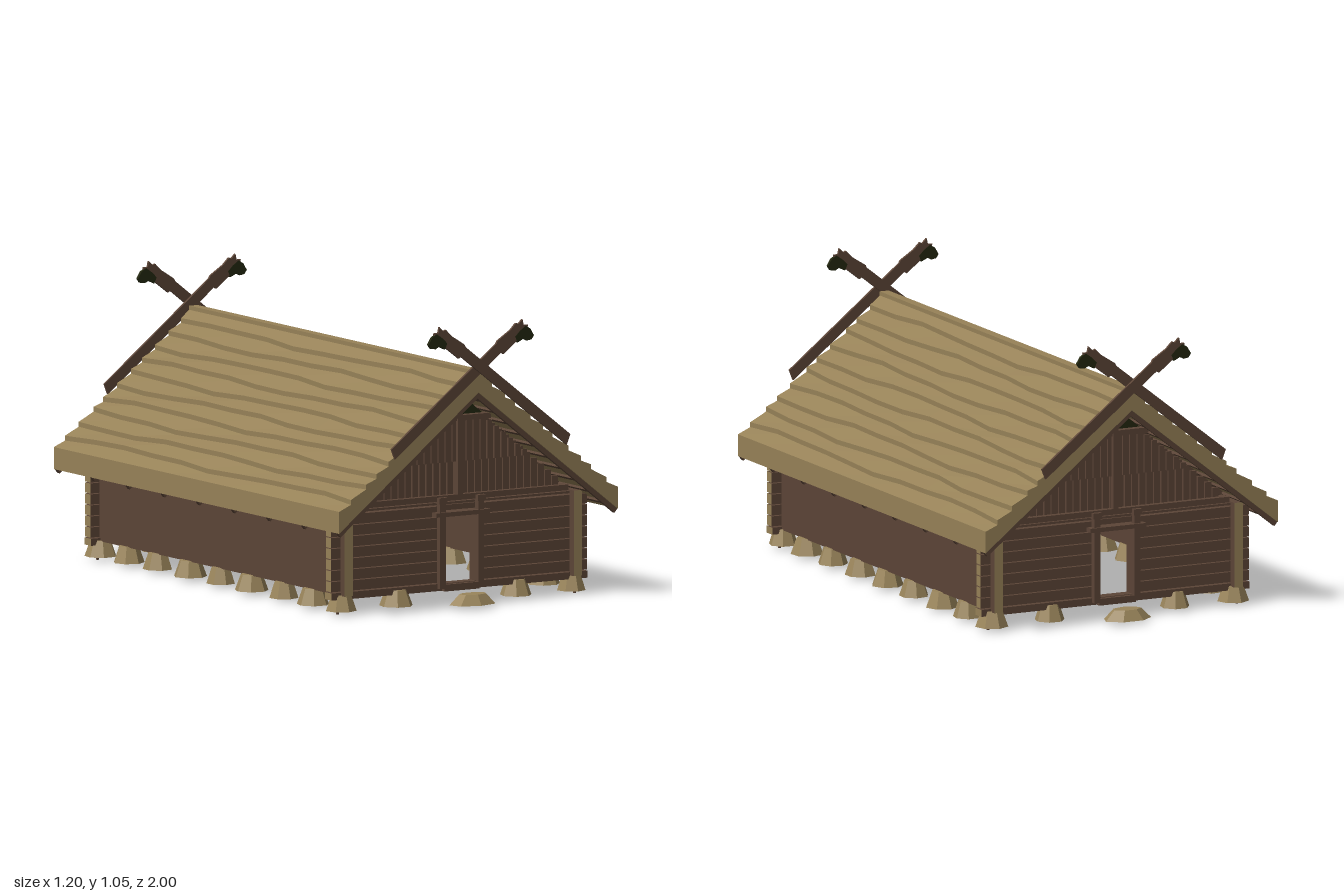
import * as THREE from 'three';

const mat = (name, color, extra = {}) => {
  const m = new THREE.MeshStandardMaterial({ color, flatShading: true, ...extra });
  m.name = name;
  return m;
};

export function createModel() {
  const wood = mat('brown wood', 0x5c4537);
  const straw = mat('straw and cut wood', 0x978258);
  const stone = mat('tan stone', 0x9a855b);
  const dark = mat('dark moss', 0x23270f, { side: THREE.DoubleSide });
  const endsX = [straw, straw, wood, wood, wood, wood];
  const endsZ = [wood, wood, wood, wood, straw, straw];

  const root = new THREE.Group();
  root.name = 'longhouse';

  const add = (parent, name, geo, m, x = 0, y = 0, z = 0) => {
    const mesh = new THREE.Mesh(geo, m);
    mesh.name = name;
    mesh.position.set(x, y, z);
    parent.add(mesh);
    return mesh;
  };
  // box given by its limits
  const box = (parent, name, x0, x1, y0, y1, z0, z1, m = wood) =>
    add(parent, name, new THREE.BoxGeometry(x1 - x0, y1 - y0, z1 - z0), m,
      (x0 + x1) / 2, (y0 + y1) / 2, (z0 + z1) / 2);
  const shapeOf = (pts, s = 1) =>
    new THREE.Shape(pts.map(([x, y]) => new THREE.Vector2(x * s, y)));

  // ---- roof: stepped thatch courses, slightly wavy along the length
  const PITCH = 0.79, ANGLE = Math.atan(PITCH), HALF = 0.6, COURSES = 11;
  const under = x => 0.795 - PITCH * x;
  const top = x => 0.876 - PITCH * x;
  const profile = [[0, under(0)], [HALF, under(HALF)], [HALF, top(HALF)]];
  for (let i = 1; i <= COURSES; i++) {
    const x = HALF * (1 - i / COURSES);
    if (i < COURSES) profile.push([x, top(x) - 0.018]);
    profile.push([x, top(x)]);
  }
  for (const s of [-1, 1]) {
    const geo = new THREE.ExtrudeGeometry(shapeOf(profile, s), { depth: 1.95, steps: 10, bevelEnabled: false });
    geo.translate(0, 0, -0.975);
    const p = geo.attributes.position;
    for (let i = 0; i < p.count; i++) {
      const x = Math.abs(p.getX(i)), z = p.getZ(i);
      if (x < 0.01 || x > HALF - 0.01) continue;
      const w = 0.006 * Math.sin(z * 5.3 + x * 37) + 0.003 * Math.sin(z * 13 + x * 71);
      p.setX(i, s * (x + w));
      p.setY(i, p.getY(i) - PITCH * w);
    }
    geo.computeVertexNormals();
    add(root, 'thatchSlope', geo, straw);

    // rafters and battens under the thatch
    for (let i = -4; i <= 4; i++) {
      const d = 0.009, x = HALF / 2;
      const r = add(root, 'rafter', new THREE.BoxGeometry(HALF / Math.cos(ANGLE), 0.018, 0.016), wood,
        s * (x - d * Math.sin(ANGLE)), under(x) - d * Math.cos(ANGLE), i * 0.24);
      r.rotation.z = -s * ANGLE;
    }
    for (let i = 0; i < 10; i++) {
      const x = 0.04 + i * 0.058;
      const b = add(root, 'batten', new THREE.BoxGeometry(0.014, 0.01, 1.93), wood, s * x, under(x) - 0.005, 0);
      b.rotation.z = -s * ANGLE;
    }
  }
  const ridge = add(root, 'ridgePole', new THREE.CylinderGeometry(0.014, 0.014, 1.86, 8), wood, 0, 0.78, 0);
  ridge.rotation.x = Math.PI / 2;
  box(root, 'ridgeCap', -0.018, 0.018, 0.862, 0.877, -0.975, 0.975, straw);
  box(root, 'tieBeam', -0.48, 0.48, 0.365, 0.39, -0.015, 0.015);

  // ---- long side walls with pale cut ends
  for (const s of [-1, 1]) {
    const w = box(root, 'sideWall', 0.475, 0.51, 0.07, 0.385, -0.87, 0.87, endsZ);
    w.position.x *= s;
  }

  // ---- gable ends: the same group, mirrored in z by flipping positions
  const boardPts = [[-0.365, 0.578], [0.09, 0.936], [0.1, 0.93], [0.165, 0.98], [0.2, 1.0], [0.205, 1.03],
    [0.187, 1.03], [0.182, 1.052], [0.165, 1.035], [0.155, 1.04], [0.13, 1.015], [0.075, 0.98], [0.07, 0.97], [-0.38, 0.616]];
  const muzzlePts = [[0.15, 0.99], [0.16, 0.968], [0.185, 0.98], [0.2, 0.972], [0.22, 0.975], [0.23, 0.99],
    [0.215, 1.015], [0.195, 1.027], [0.17, 1.01]];
  const plate = (pts, s, depth) => {
    const g = new THREE.ExtrudeGeometry(shapeOf(pts, s), { depth, bevelEnabled: false });
    return g;
  };

  const buildGable = () => {
    const g = new THREE.Group();
    const both = (name, x0, x1, y0, y1, z0, z1, m) => {
      box(g, name, x0, x1, y0, y1, z0, z1, m);
      box(g, name, -x1, -x0, y0, y1, z0, z1, m);
    };
    // wall logs on each side of the doorway
    for (let i = 0; i < 7; i++) {
      const y = 0.086 + i * 0.0405;
      both('wallLog', 0.085, 0.55, y, y + 0.037, 0.805, 0.84, endsX);
    }
    box(g, 'sill', -0.55, 0.55, 0.056, 0.082, 0.8, 0.845, endsX);
    box(g, 'topRail', -0.5, 0.5, 0.372, 0.38, 0.81, 0.84);
    box(g, 'gableTie', -0.465, 0.465, 0.385, 0.406, 0.805, 0.85);

    // doorway
    both('doorJamb', 0.07, 0.095, 0.065, 0.4, 0.8, 0.862);
    both('jambHead', 0.066, 0.1, 0.378, 0.4, 0.8, 0.866);
    box(g, 'lintel', -0.115, 0.115, 0.33, 0.346, 0.8, 0.87);
    box(g, 'overDoorLog', -0.09, 0.09, 0.35, 0.37, 0.805, 0.84);
    box(g, 'threshold', -0.075, 0.075, 0.055, 0.08, 0.8, 0.862);

    // upright gable planks, with a second layer over the upper gaps
    for (let i = -14; i <= 14; i++) {
      const x = i * 0.03;
      const h = Math.min(0.68, under(Math.abs(x) + 0.012) - 0.014);
      if (h > 0.42) box(g, 'gablePlank', x - 0.0125, x + 0.0125, 0.4, h, 0.815, 0.828);
      const xb = x + 0.015;
      const hb = Math.min(0.68, under(Math.abs(xb) + 0.01) - 0.014);
      if (hb > 0.54) box(g, 'coverPlank', xb - 0.01, xb + 0.01, 0.525, hb, 0.828, 0.836);
    }
    box(g, 'collarBeam', -0.135, 0.135, 0.675, 0.695, 0.81, 0.845);
    box(g, 'kingPost', -0.011, 0.011, 0.4, 0.785, 0.815, 0.85);
    add(g, 'smokeVent', new THREE.ShapeGeometry(shapeOf([[-0.12, 0.69], [0.12, 0.69], [0, 0.785]])), dark, 0, 0, 0.818);

    // crossed boards ending in carved animal heads
    for (const [s, z] of [[1, 0.976], [-1, 0.988]]) {
      add(g, 'crossedBoard', plate(boardPts, s, 0.01), wood, 0, 0, z);
      add(g, 'carvedMuzzle', plate(muzzlePts, s, 0.012), dark, 0, 0, z - 0.001);
    }
    return g;
  };
  const front = buildGable();
  front.name = 'frontGable';
  root.add(front);
  const back = buildGable();
  back.name = 'backGable';
  // shift each part to the mirrored depth; plates are pushed back by their thickness
  back.children.forEach(c => {
    c.position.z *= -1;
    if (c.geometry.type === 'ExtrudeGeometry') c.position.z -= c.geometry.parameters.options.depth;
  });
  root.add(back);

  // ---- foundation stones
  const rock = (x, z, i) => {
    const k = 1 + 0.08 * Math.sin(i * 2.7);
    const r = add(root, 'foundationStone', new THREE.CylinderGeometry(0.037 * k, 0.058 * k, 0.06, 7), stone, x, 0.043, z);
    r.rotation.y = i * 1.3;
  };
  const rows = [0.82, 0.63, 0.43, 0.21, 0, -0.21, -0.43, -0.63, -0.82];
  let n = 0;
  for (const s of [-1, 1]) {
    for (const z of rows) rock(s * 0.495, z, n++);
    for (const z of [-0.82, 0.82]) {
      rock(s * 0.257, z, n++);
      box(root, 'cornerPeg', s * 0.51 - 0.004, s * 0.51 + 0.004, 0, 0.03, z - 0.004, z + 0.004);
    }
    // flat step in front of each doorway
    const step = add(root, 'doorStep', new THREE.CylinderGeometry(0.056, 0.095, 0.038, 7), stone, 0, 0.032, s * 0.935);
    step.scale.z = 0.62;
  }
  return root;
}
